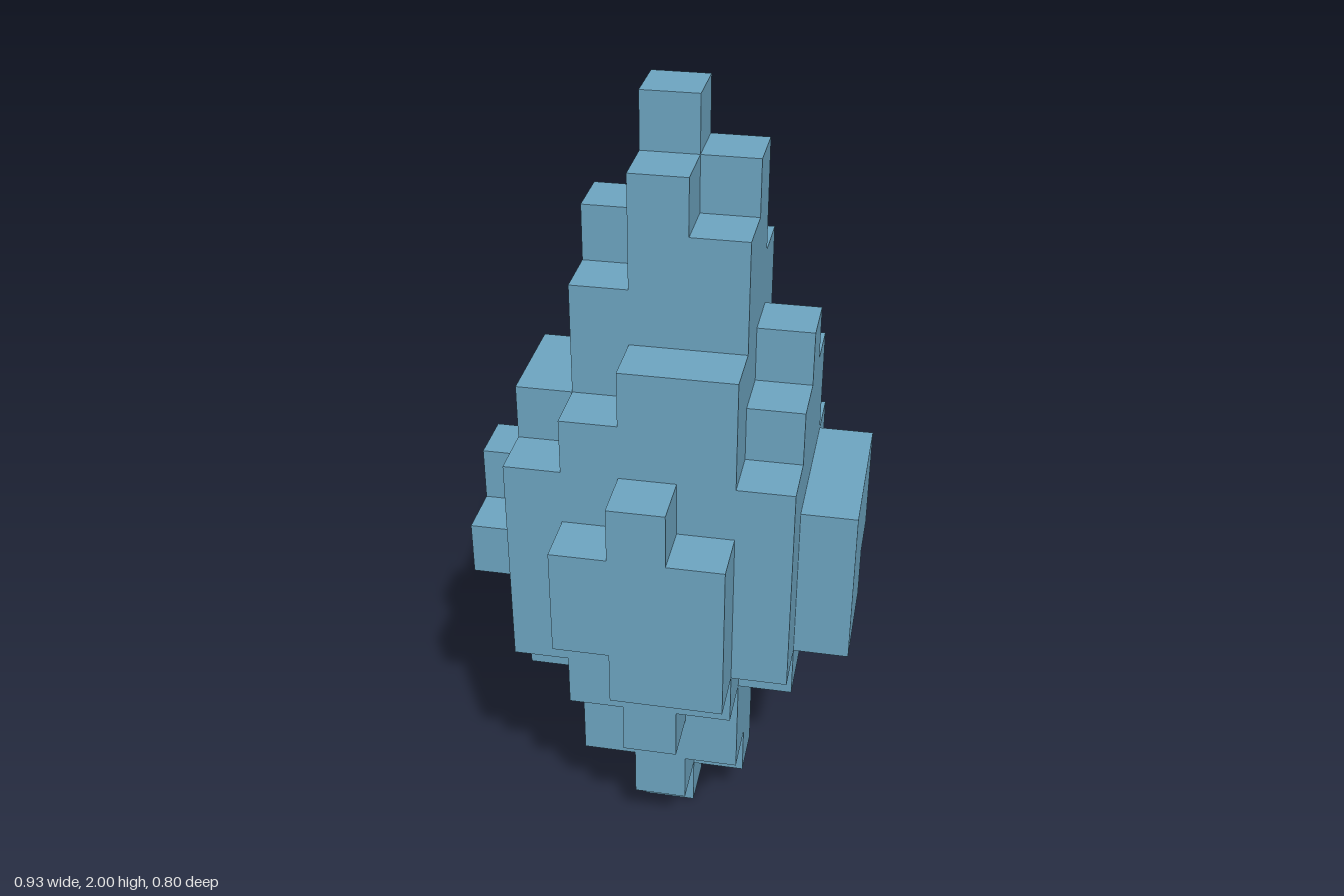
import * as THREE from 'three';
import { mergeGeometries } from 'three/addons/utils/BufferGeometryUtils.js';

const U = 2 / 15; // edge of one cube

// Slices from back to front. Each has its lowest row, then [first, last] column per row going up.
const SLICES = [
  { row: 4, spans: [[0, 0], [-1, 2], [-2, 2], [-2, 2], [-1, 1], [0, 0]] },
  { row: 2, spans: [[0, 0], [-1, 1], [-1, 2], [-2, 2], [-2, 3], [-2, 3], [-2, 2], [-1, 2], [-1, 1], [0, 1], [0, 0]] },
  { row: 0, spans: [[0, 0], [0, 1], [-1, 1], [-1, 1], [-2, 2], [-2, 3], [-3, 3], [-3, 3], [-2, 2], [-2, 2], [-1, 2], [-1, 1], [-1, 1], [0, 1], [0, 0]] },
  { row: 1, spans: [[0, 0], [-1, 1], [-1, 1], [-2, 2], [-2, 3], [-3, 3], [-2, 3], [-2, 2], [-2, 2], [-1, 1], [-1, 1], [0, 1], [0, 0]] },
  { row: 3, spans: [[0, 0], [-1, 1], [-2, 2], [-2, 2], [-2, 2], [-2, 2], [-1, 1], [0, 1]] },
  { row: 5, spans: [[0, 1], [-1, 1], [-1, 1], [0, 0]] },
];

// Is there a cube at column x, row y, slice z?
function filled(x, y, z) {
  const slice = SLICES[z];
  const span = slice && slice.spans[y - slice.row];
  return !!span && x >= span[0] && x <= span[1];
}

// One square per cube side, facing outward
const SIDES = [
  { dir: [0, 0, 1], turn: [0, 0] },
  { dir: [0, 0, -1], turn: [0, Math.PI] },
  { dir: [1, 0, 0], turn: [0, Math.PI / 2] },
  { dir: [-1, 0, 0], turn: [0, -Math.PI / 2] },
  { dir: [0, 1, 0], turn: [-Math.PI / 2, 0] },
  { dir: [0, -1, 0], turn: [Math.PI / 2, 0] },
].map(({ dir, turn }) => ({
  dir,
  square: new THREE.PlaneGeometry(U, U)
    .translate(0, 0, U / 2)
    .rotateX(turn[0])
    .rotateY(turn[1]),
}));

export function createModel() {
  const crystalBlue = new THREE.MeshStandardMaterial({ color: 0x6ea6c2 });
  crystalBlue.name = 'crystalBlue';

  // Keep only the cube sides that have no neighbour
  const squares = [];
  SLICES.forEach(({ row, spans }, z) => {
    spans.forEach(([first, last], i) => {
      const y = row + i;
      for (let x = first; x <= last; x++) {
        for (const { dir: [dx, dy, dz], square } of SIDES) {
          if (filled(x + dx, y + dy, z + dz)) continue;
          squares.push(square.clone().translate(x * U, (y + 0.5) * U, (z - 2.5) * U));
        }
      }
    });
  });

  const crystal = new THREE.Mesh(mergeGeometries(squares), crystalBlue);
  crystal.name = 'crystal';

  const group = new THREE.Group();
  group.name = 'blockCrystal';
  group.add(crystal);
  return group;
}
